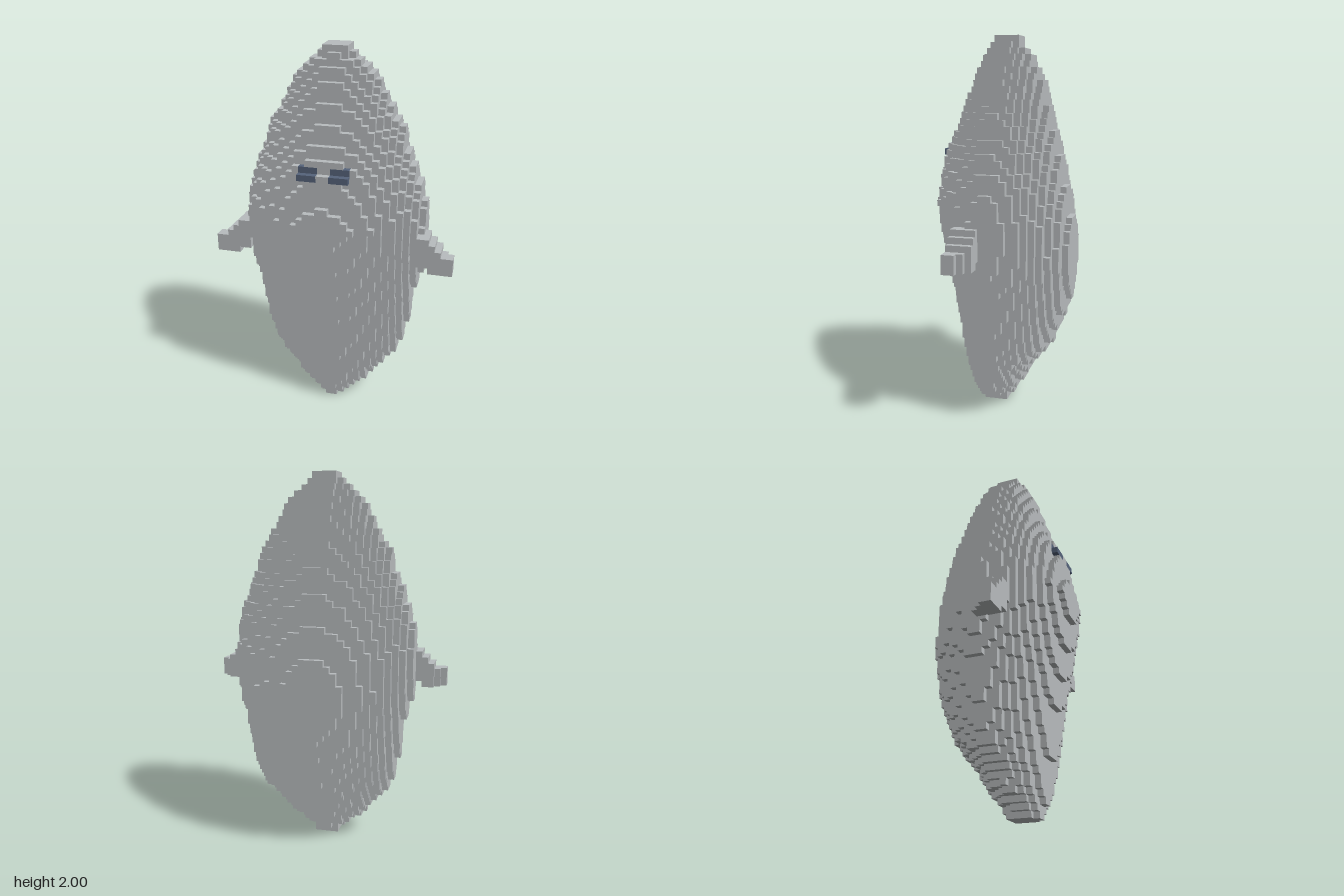
import * as THREE from 'three';

const LAYERS = 62;
const S = 2 / LAYERS; // edge length of one cube

// Profiles as [height, reach in cubes], from bottom to top
const halfWidth = [
  [0, 2], [0.03, 2.5], [0.06, 3.5], [0.085, 4.5], [0.11, 5.5], [0.14, 6.5], [0.19, 7.5], [0.225, 8.5],
  [0.26, 9.5], [0.29, 10.5], [0.36, 11.5], [0.49, 12.5], [0.71, 13.5], [0.81, 14.5], [1.02, 15.2],
  [1.23, 14.5], [1.325, 13.5], [1.42, 12.5], [1.5, 11.5], [1.6, 10.5], [1.65, 9.5], [1.71, 8.5],
  [1.775, 7.5], [1.84, 6.5], [1.87, 5.5], [1.905, 4.5], [1.935, 3.5], [1.965, 2.5], [2, 2],
];
const frontReach = [
  [0, 4.9], [0.065, 5.5], [0.29, 6.5], [0.55, 7.5], [0.71, 8.5], [0.865, 9.5], [1.035, 10.5],
  [1.14, 11.1], [1.23, 10.6], [1.42, 9.6], [1.485, 8.5], [1.55, 7.5], [1.65, 6.5], [1.745, 5.5],
  [1.84, 4.5], [1.91, 3.5], [1.968, 2.5], [2, 2],
];
const backReach = [
  [0, 0.2], [0.04, 0.5], [0.09, 1.5], [0.13, 2.5], [0.19, 3.5], [0.25, 4.5], [0.29, 5.5], [0.33, 6.5],
  [0.37, 7.5], [0.45, 8.5], [0.53, 9.5], [0.62, 10.5], [0.85, 11.3], [1.07, 10.5], [1.23, 9.5],
  [1.385, 8.5], [1.51, 7.5], [1.65, 6.5], [1.775, 5.5], [1.84, 4.5], [1.9, 3.5], [1.94, 2.5], [2, 1.9],
];

function sample(profile, y) {
  let n = 1;
  while (n < profile.length - 1 && profile[n][0] < y) n++;
  const [y0, v0] = profile[n - 1];
  const [y1, v1] = profile[n];
  return v0 + ((v1 - v0) * (y - y0)) / (y1 - y0);
}

const key = (i, j, k) => `${i},${j},${k}`;

// Six cube faces: normal and the two edge directions, with u x v = normal
const FACES = [];
for (let axis = 0; axis < 3; axis++) {
  for (const sign of [1, -1]) {
    const n = [0, 0, 0], u = [0, 0, 0], v = [0, 0, 0];
    n[axis] = sign;
    u[(axis + (sign > 0 ? 1 : 2)) % 3] = 1;
    v[(axis + (sign > 0 ? 2 : 1)) % 3] = 1;
    FACES.push({ n, u, v });
  }
}

// Skin of one part: only the cube faces that touch empty space
function cubeMesh(name, part, cells, material) {
  const position = [], normal = [], index = [];
  for (const [id, cell] of cells) {
    if (cell.part !== part) continue;
    const p = id.split(',').map(Number);
    for (const { n, u, v } of FACES) {
      if (cells.has(key(p[0] + n[0], p[1] + n[1], p[2] + n[2]))) continue;
      const base = position.length / 3;
      for (const [a, b] of [[0, 0], [1, 0], [1, 1], [0, 1]]) {
        for (let c = 0; c < 3; c++) {
          position.push((p[c] + Math.max(n[c], 0) + a * u[c] + b * v[c]) * S);
        }
        normal.push(...n);
      }
      index.push(base, base + 1, base + 2, base, base + 2, base + 3);
    }
  }
  const geometry = new THREE.BufferGeometry();
  geometry.setAttribute('position', new THREE.Float32BufferAttribute(position, 3));
  geometry.setAttribute('normal', new THREE.Float32BufferAttribute(normal, 3));
  geometry.setIndex(index);
  const mesh = new THREE.Mesh(geometry, material);
  mesh.name = name;
  return mesh;
}

export function createModel() {
  const grey = new THREE.MeshStandardMaterial({ color: 0xb9bdbf });
  grey.name = 'light grey';
  const blue = new THREE.MeshStandardMaterial({ color: 0x56647c });
  blue.name = 'slate blue';

  const cells = new Map();
  const put = (i, j, k, part) => cells.set(key(i, j, k), { part });

  // Body: a stack of elliptical layers
  for (let j = 0; j < LAYERS; j++) {
    const y = (j + 0.5) * S;
    const w = sample(halfWidth, y);
    const front = sample(frontReach, y);
    const back = sample(backReach, y);
    const middle = y < 0.4 ? (front - back) / 2 : 0;
    for (let i = -16; i < 16; i++) {
      for (let k = -12; k < 12; k++) {
        const x = i + 0.5;
        const z = k + 0.5 - middle;
        const depth = z > 0 ? front - middle : back + middle;
        if ((x / w) ** 2 + (z / depth) ** 2 <= 1) put(i, j, k, 'body');
      }
    }
  }

  // Arms: short fins tapering outward, as [column, y from, y to, z from]
  const armColumns = [[14, 28, 32, 0], [15, 28, 32, 1], [16, 27, 31, 1], [17, 27, 30, 1], [18, 27, 29, 2], [19, 27, 29, 3]];
  for (const side of ['left', 'right']) {
    for (const [c, y0, y1, z0] of armColumns) {
      const i = side === 'left' ? c : -1 - c;
      for (let j = y0; j <= y1; j++) {
        for (let k = z0; k <= 4; k++) {
          if (!cells.has(key(i, j, k))) put(i, j, k, side + 'Arm');
        }
      }
    }
    // Eyes: two rows of three cubes, the lower row standing out
    for (let c = 1; c <= 3; c++) {
      const i = side === 'left' ? c : -1 - c;
      put(i, 43, 9, side + 'Eye');
      put(i, 44, 8, side + 'Eye');
      cells.delete(key(i, 44, 9));
    }
  }

  const group = new THREE.Group();
  group.name = 'figure';
  group.add(cubeMesh('body', 'body', cells, grey));
  for (const side of ['left', 'right']) {
    group.add(cubeMesh(side + 'Arm', side + 'Arm', cells, grey));
    group.add(cubeMesh(side + 'Eye', side + 'Eye', cells, blue));
  }
  return group;
}
